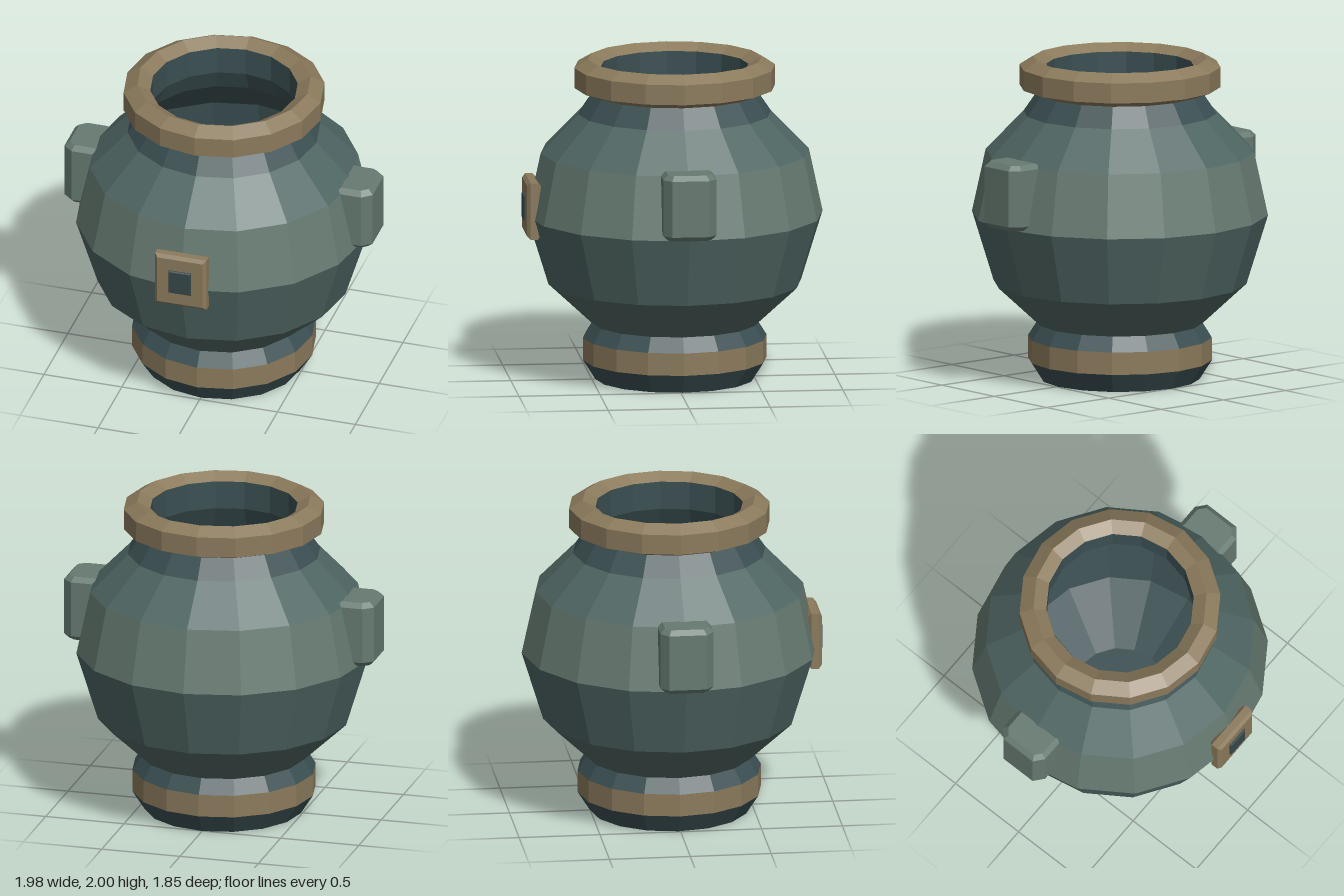
import * as THREE from 'three';

const CENTER_Z = -0.012;
const paint = (color) => new THREE.MeshStandardMaterial({ color, flatShading: true });

export function createModel() {
  const group = new THREE.Group();
  const dark = paint(0x3b4f52), teal = paint(0x4f6663), pale = paint(0x667a71);
  const bronze = paint(0x8b7a5c), inset = paint(0x37474a);

  const add = (name, geometry, material, x = 0, y = 0, z = 0) => {
    const mesh = new THREE.Mesh(geometry, material);
    mesh.name = name;
    mesh.position.set(x, y, z);
    group.add(mesh);
    return mesh;
  };

  // Sixteen-sided ring from [radius, height] points, outside listed upwards
  const ring = (name, material, points) =>
    add(name, new THREE.LatheGeometry(points.map(([r, y]) => new THREE.Vector2(r, y)), 16),
      material, 0, 0, CENTER_Z);

  // Prism along z with a single chamfer around both ends
  const chamferedPrism = (corners, depth, bevel) => {
    const shape = new THREE.Shape(corners.map(([x, y]) => new THREE.Vector2(x, y)));
    return new THREE.ExtrudeGeometry(shape, {
      depth: depth - 2 * bevel, bevelEnabled: true, bevelSegments: 1,
      bevelSize: bevel, bevelThickness: bevel, bevelOffset: -bevel,
    }).translate(0, 0, bevel);
  };
  const rectangle = (w, h) => [[-w, -h], [w, -h], [w, h], [-w, h]];

  // Foot and its band
  ring('foot', dark, [[0, 0], [0.49, 0], [0.567, 0.12]]);
  ring('footBand', bronze, [[0.567, 0.12], [0.567, 0.26]]);
  ring('footCollar', dark, [[0.567, 0.26], [0.51, 0.35]]);

  // Body, neck and rim
  ring('lowerBody', teal, [[0.51, 0.35], [0.78, 0.6], [0.913, 1.03]]);
  ring('middleBody', pale, [[0.913, 1.03], [0.828, 1.42]]);
  ring('shoulder', teal, [[0.828, 1.42], [0.595, 1.66]]);
  ring('neck', dark, [[0.595, 1.66], [0.51, 1.785]]);
  ring('rim', bronze, [[0.51, 1.785], [0.62, 1.825], [0.62, 1.95], [0.535, 2], [0.455, 1.955]]);

  // Hollow inside, listed downwards so that it faces inwards
  ring('innerWall', dark, [[0.455, 1.955], [0.455, 1.78], [0.52, 1.64], [0.72, 1.4],
    [0.77, 1.03], [0.66, 0.62], [0.31, 0.3], [0, 0.3]]);

  // Side lugs: upright prisms with cut outer corners, sunk into the body
  for (const [name, side] of [['leftLug', 1], ['rightLug', -1]]) {
    const corners = [[-0.115, -0.165], [0.055, -0.165], [0.115, -0.115],
      [0.115, 0.115], [0.055, 0.165], [-0.115, 0.165]];
    const lug = chamferedPrism(corners, 0.41, 0.03).rotateX(-Math.PI / 2);
    if (side < 0) lug.rotateY(Math.PI);
    add(name, lug, pale, side * 0.875, 1.04, CENTER_Z);
  }

  // Front plaque with a dark square stud
  add('frontPlaque', chamferedPrism(rectangle(0.166, 0.177), 0.085, 0.02), bronze, 0, 1.088, 0.83);
  add('plaqueStud', chamferedPrism(rectangle(0.071, 0.078), 0.05, 0.006), inset, 0, 1.088, 0.878);

  return group;
}
